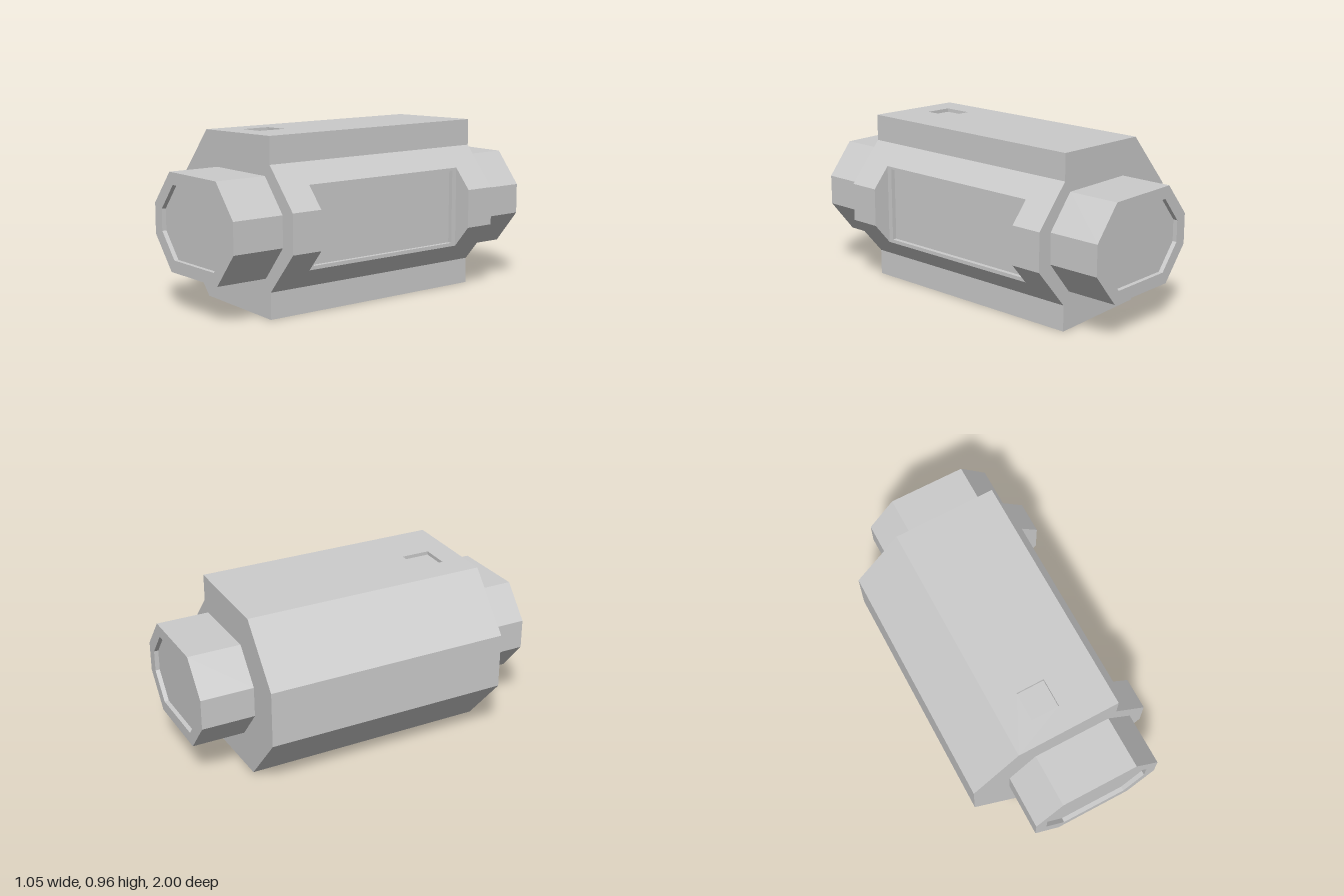
import * as THREE from 'three';
import { mergeGeometries } from 'three/addons/utils/BufferGeometryUtils.js';

const V2 = ([x, y]) => new THREE.Vector2(x, y);
const rect = (x0, y0, x1, y1) => [[x0, y0], [x1, y0], [x1, y1], [x0, y1]];

// Flat panel in the plane (u, v) facing u x v, with optional sunken pockets
function panel(origin, u, v, outline, pockets = [], depth = 0.025) {
  const shape = new THREE.Shape(outline.map(V2));
  const parts = [];
  for (const pocket of pockets) {
    const pts = pocket.map(V2);
    if (THREE.ShapeUtils.isClockWise(pts)) pts.reverse();
    shape.holes.push(new THREE.Path(pts));
    parts.push(new THREE.ShapeGeometry(new THREE.Shape(pts)).translate(0, 0, -depth).toNonIndexed());
    pts.forEach((p, i) => {
      const q = pts[(i + 1) % pts.length];
      const wall = new THREE.BufferGeometry();
      wall.setAttribute('position', new THREE.Float32BufferAttribute([
        p.x, p.y, 0, q.x, q.y, 0, q.x, q.y, -depth,
        p.x, p.y, 0, q.x, q.y, -depth, p.x, p.y, -depth], 3));
      wall.setAttribute('uv', new THREE.Float32BufferAttribute(new Array(12).fill(0), 2));
      wall.computeVertexNormals();
      parts.push(wall);
    });
  }
  parts.push(new THREE.ShapeGeometry(shape).toNonIndexed());
  const n = new THREE.Vector3().crossVectors(u, v);
  return mergeGeometries(parts).applyMatrix4(new THREE.Matrix4().makeBasis(u, v, n).setPosition(...origin));
}

const Z = new THREE.Vector3(0, 0, 1), Y = new THREE.Vector3(0, 1, 0);

// Panel facing along z, towards sign
function endPanel(z, sign, outline, pockets = []) {
  const flip = (pts) => pts.map(([x, y]) => [x * sign, y]);
  return panel([0, 0, z], new THREE.Vector3(sign, 0, 0), Y, flip(outline), pockets.map(flip));
}

// Long sides of a prism; edits[i] may replace the outlines or add pockets on edge i
function sidePanels(profile, z0, z1, edits = {}) {
  return profile.flatMap((a, i) => {
    const b = profile[(i + 1) % profile.length];
    const d = new THREE.Vector3(b[0] - a[0], b[1] - a[1], 0);
    const len = d.length();
    const { outlines, pockets } = edits[i] ? edits[i](len) : {};
    return (outlines || [rect(0, z0, len, z1)])
      .map((o) => panel([a[0], a[1], 0], d.clone().normalize(), Z, o, pockets, 0.02));
  });
}

export function createModel() {
  const group = new THREE.Group();
  const material = new THREE.MeshStandardMaterial({ color: 0xcccccc, flatShading: true });
  const add = (name, parts) => {
    const mesh = new THREE.Mesh(mergeGeometries(parts), material);
    mesh.name = name;
    group.add(mesh);
  };

  // Main body, profile counterclockwise from the lower left
  const half = 0.7, win = 0.52, winX = 0.425;
  const body = [[-0.26, 0.017], [0.33, 0], [0.33, 0.145], [0.527, 0.373], [0.527, 0.588],
    [0.33, 0.812], [0.33, 0.96], [-0.26, 0.945], [-0.527, 0.638], [-0.527, 0.323]];
  const t = (winX - 0.33) / (0.527 - 0.33);
  const lowY = 0.145 + t * (0.373 - 0.145), highY = 0.812 - t * (0.812 - 0.588);
  const edits = {
    // two hatches underneath, one on top
    0: () => ({ pockets: [rect(0.175, 0.21, 0.425, 0.485), rect(0.175, -0.485, 0.425, -0.21)] }),
    6: () => ({ pockets: [rect(0.28, 0.4, 0.44, 0.565)] }),
    // window notch through the three faces on the left side
    2: (l) => ({ outlines: [[[0, -half], [l, -half], [l, -win], [l * t, -win],
      [l * t, win], [l, win], [l, half], [0, half]]] }),
    3: (l) => ({ outlines: [rect(0, -half, l, -win), rect(0, win, l, half)] }),
    4: (l) => ({ outlines: [[[0, -half], [l, -half], [l, half], [0, half], [0, win],
      [l * (1 - t), win], [l * (1 - t), -win], [0, -win]]] }),
  };
  add('body', [...sidePanels(body, -half, half, edits),
    endPanel(half, 1, body), endPanel(-half, -1, body)]);

  // Window: notch cheeks and framed recess
  const cheek = [[winX, lowY], [0.527, 0.373], [0.527, 0.588], [winX, highY]];
  add('window', [
    endPanel(win, -1, cheek), endPanel(-win, 1, cheek),
    panel([winX, 0, 0], Y, Z, rect(lowY, -win, highY, win), [rect(0.275, -0.49, 0.69, 0.49)], 0.025),
  ]);

  // Octagonal end collars with sunken faces
  const collar = [[-0.155, 0.212], [0.288, 0.212], [0.44, 0.397], [0.44, 0.567],
    [0.288, 0.75], [-0.155, 0.75], [-0.31, 0.567], [-0.31, 0.397]];
  const inner = [[-0.124, 0.279], [0.257, 0.279], [0.373, 0.421], [0.373, 0.541],
    [0.257, 0.683], [-0.124, 0.683], [-0.242, 0.541], [-0.242, 0.421]];
  for (const s of [1, -1]) {
    add(s > 0 ? 'frontCollar' : 'backCollar', [
      ...sidePanels(collar, s > 0 ? half : -1, s > 0 ? 1 : -half),
      endPanel(s, s, collar, [inner]),
    ]);
  }
  return group;
}
